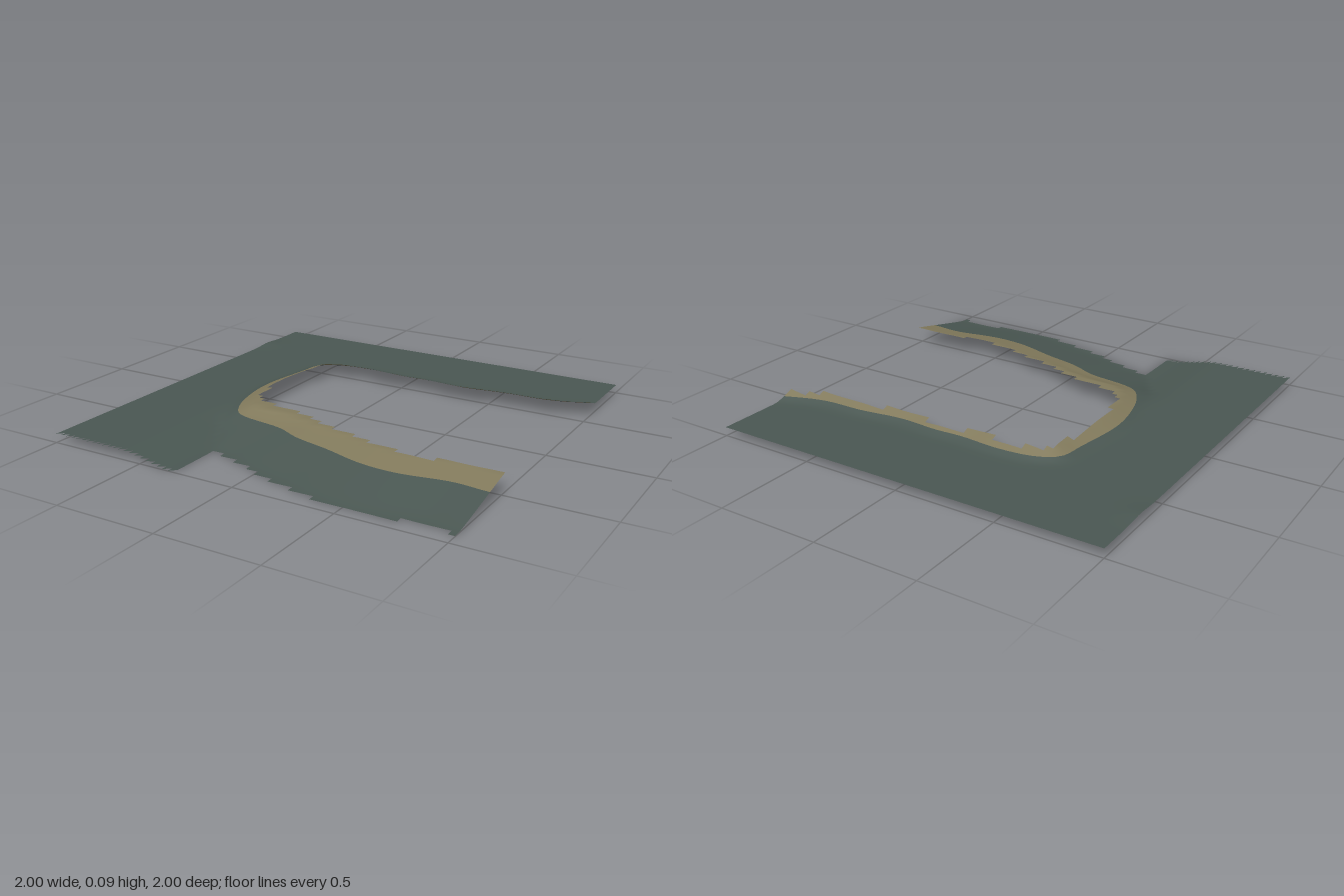
import * as THREE from 'three';

const CELL = 1 / 32; // terrain grid spacing

// Line where the ground turns to sand, as [x, z]
const shoreline = new THREE.CatmullRomCurve3([
  [1.3, -0.75], [1, -0.615], [0.8, -0.55], [0.57, -0.54], [0.35, -0.513], [0.14, -0.525],
  [0, -0.52], [-0.22, -0.535], [-0.4, -0.51], [-0.487, -0.45], [-0.51, -0.32],
  [-0.545, -0.05], [-0.525, 0.13], [-0.475, 0.29], [-0.4, 0.39], [-0.13, 0.45],
  [0, 0.51], [0.19, 0.56], [0.4, 0.625], [0.58, 0.64], [0.83, 0.605], [1, 0.62], [1.3, 0.62],
].map(([x, z]) => new THREE.Vector3(x, 0, z))).getPoints(160);

// Stepped opening: [first column, back row, front row]
const opening = [
  [-15, -10, 2], [-14, -14, 6], [-13, -15, 7], [-12, -15, 8], [-10, -16, 8], [-9, -16, 9],
  [-5, -15, 9], [-4, -15, 10], [-1, -15, 11], [0, -16, 11], [1, -16, 12], [4, -16, 13],
  [7, -15, 13], [8, -15, 14], [11, -15, 15], [15, -16, 15], [16, -16, 16], [22, -16, 15],
  [27, -17, 15], [29, -18, 15],
];
// Stepped front edge: [first column, end row]
const frontEdge = [
  [-32, 32], [-10, 23], [-8, 24], [-5, 25], [-2, 26], [0, 27], [3, 28], [7, 29],
  [11, 30], [24, 29], [31, 30],
];
const stepAt = (steps, i) => steps.filter((s) => s[0] <= i).pop();

// Signed distance to the shoreline, positive on the ground side
function shoreDistance(x, z) {
  let best = Infinity;
  let inside = false;
  shoreline.forEach((a, i) => {
    const last = i === shoreline.length - 1;
    const b = shoreline[last ? 0 : i + 1];
    if ((a.z > z) !== (b.z > z) && x < a.x + ((z - a.z) / (b.z - a.z)) * (b.x - a.x)) inside = !inside;
    if (last) return;
    const dx = b.x - a.x;
    const dz = b.z - a.z;
    const t = THREE.MathUtils.clamp(((x - a.x) * dx + (z - a.z) * dz) / (dx * dx + dz * dz), 0, 1);
    best = Math.min(best, Math.hypot(x - a.x - t * dx, z - a.z - t * dz));
  });
  return inside ? -best : best;
}

// Flat land, low front shelf, and a bank rising towards the opening
function height(x, z, d) {
  const s = THREE.MathUtils.smoothstep;
  const gentle = s(z, 0.2, 0.45) * s(x, -0.5, -0.3);
  const floor = 0.043 * (1 - s(x, -0.62, -0.33) * s(z, 0.2, 0.5))
    + 0.008 * Math.exp(-((x + 1) ** 2 + (z + 0.7) ** 2) / 0.006);
  const bank = 0.06 - THREE.MathUtils.lerp(0.4, 0.21, gentle) * d;
  const y = 0.5 * (floor + bank + Math.hypot(floor - bank, 0.006));
  return Math.min(y, 0.09);
}

const cache = new Map();
function gridPoint(i, j) {
  const key = i * 1000 + j;
  if (!cache.has(key)) {
    const x = i * CELL;
    const z = j * CELL;
    const d = shoreDistance(x, z);
    const e = 0.012;
    const hx = height(x + e, z, shoreDistance(x + e, z)) - height(x - e, z, shoreDistance(x - e, z));
    const hz = height(x, z + e, shoreDistance(x, z + e)) - height(x, z - e, shoreDistance(x, z - e));
    cache.set(key, {
      p: new THREE.Vector3(x, height(x, z, d), z),
      n: new THREE.Vector3(-hx, 2 * e, -hz).normalize(),
      d,
    });
  }
  return cache.get(key);
}

// Part of a triangle on one side of the shoreline
function clip(tri, sign) {
  const out = [];
  tri.forEach((a, i) => {
    const b = tri[(i + 1) % 3];
    if (a.d * sign >= 0) out.push(a);
    if (a.d * b.d < 0) {
      const t = a.d / (a.d - b.d);
      out.push({ p: a.p.clone().lerp(b.p, t), n: a.n.clone().lerp(b.n, t).normalize(), d: 0 });
    }
  });
  return out;
}

function surface(name, triangles, sign, material) {
  const position = [];
  const normal = [];
  for (const tri of triangles) {
    const poly = clip(tri, sign);
    for (let k = 1; k < poly.length - 1; k++) {
      for (const v of [poly[0], poly[k], poly[k + 1]]) {
        position.push(v.p.x, v.p.y, v.p.z);
        normal.push(v.n.x, v.n.y, v.n.z);
      }
    }
  }
  const geometry = new THREE.BufferGeometry();
  geometry.setAttribute('position', new THREE.Float32BufferAttribute(position, 3));
  geometry.setAttribute('normal', new THREE.Float32BufferAttribute(normal, 3));
  const mesh = new THREE.Mesh(geometry, material);
  mesh.name = name;
  return mesh;
}

export function createModel() {
  const groundColour = new THREE.MeshStandardMaterial({ color: 0x4a5752, side: THREE.DoubleSide });
  groundColour.name = 'dark green ground';
  const sandColour = new THREE.MeshStandardMaterial({ color: 0x827a5c, side: THREE.DoubleSide });
  sandColour.name = 'sand';

  // Cells of the terrain, leaving out the opening and the stepped front
  const triangles = [];
  for (let i = -32; i < 32; i++) {
    const hole = stepAt(opening, i);
    const end = stepAt(frontEdge, i)[1];
    for (let j = -32; j < end; j++) {
      if (hole && j >= hole[1] && j < hole[2]) continue;
      const a = gridPoint(i, j);
      const b = gridPoint(i, j + 1);
      const c = gridPoint(i + 1, j + 1);
      const d = gridPoint(i + 1, j);
      triangles.push([a, b, d]);
      if (j < 31) triangles.push([b, c, d]); // last row keeps only its teeth
    }
  }

  const group = new THREE.Group();
  group.name = 'shoreTerrain';
  group.add(surface('ground', triangles, 1, groundColour));
  group.add(surface('sandBank', triangles, -1, sandColour));
  return group;
}
